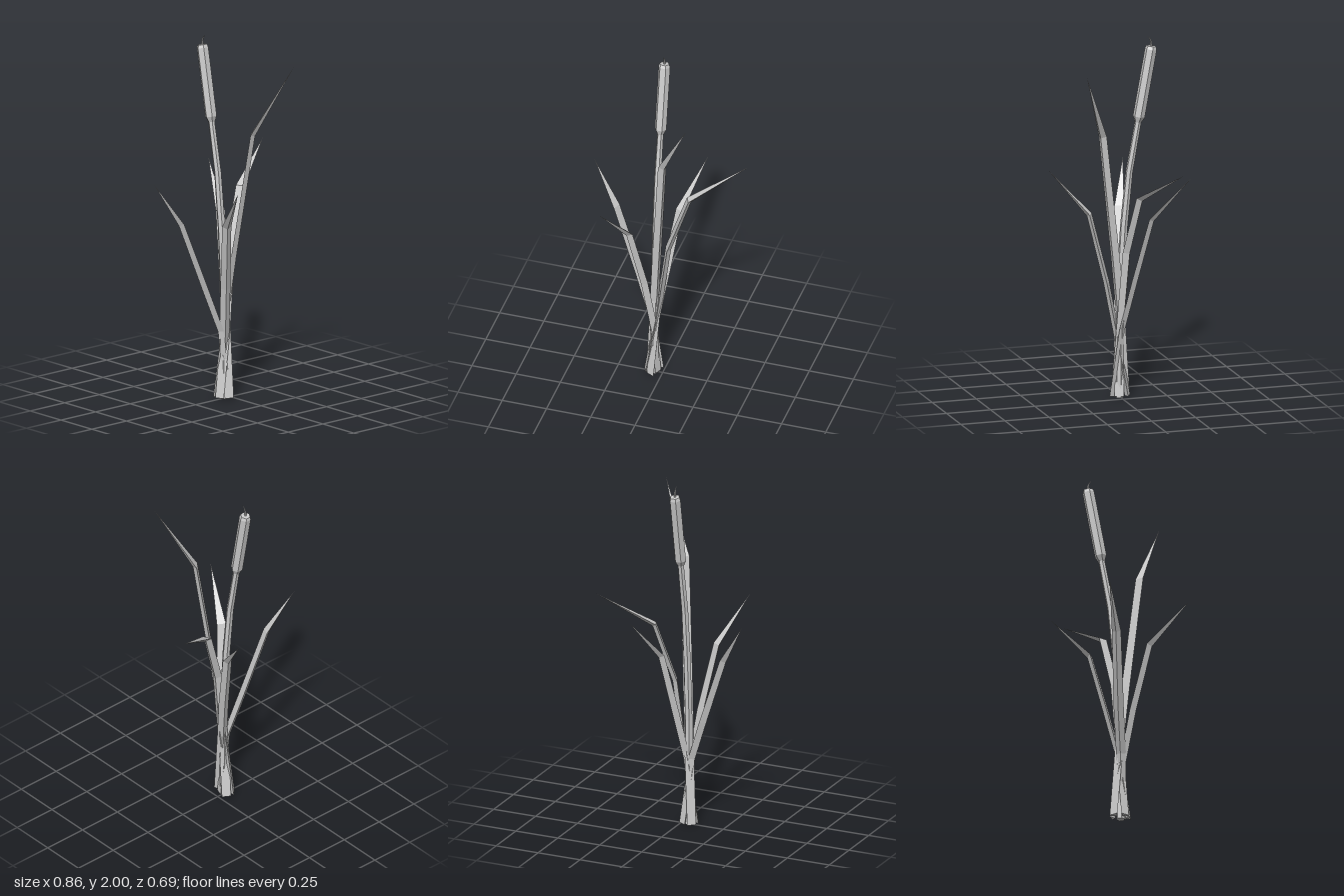
import * as THREE from 'three';

const material = new THREE.MeshStandardMaterial({ color: 0xcccccc, flatShading: true });
const UP = new THREE.Vector3(0, 1, 0);

// Sections: three-sided blade (flat inside, keel outside) and hexagon
const BLADE = [[-0.5, -0.2], [0.5, -0.2], [0, 0.28]];
const HEXAGON = Array.from({ length: 6 }, (_, k) => [Math.cos(k * Math.PI / 3), Math.sin(k * Math.PI / 3)]);

// Sweeps a section along points, scaled at each one; heading is the way the part leans
function sweep(name, section, points, sizes, heading) {
  const path = points.map((p) => new THREE.Vector3(...p));
  const side = new THREE.Vector3().crossVectors(UP, heading).normalize();
  const rings = path.map((p, i) => {
    const before = path[Math.max(i - 1, 0)];
    const after = path[Math.min(i + 1, path.length - 1)];
    const a = p.clone().sub(before).normalize();
    const tangent = after.clone().sub(p).normalize().add(a).normalize();
    const out = new THREE.Vector3().crossVectors(side, tangent).normalize();
    return section.map(([u, v]) => p.clone().addScaledVector(side, u * sizes[i]).addScaledVector(out, v * sizes[i]));
  });
  const corners = [];
  const n = section.length;
  const last = rings.length - 1;
  for (let k = 0; k < n; k++) {
    const m = (k + 1) % n;
    for (let i = 0; i < last; i++) {
      const [a, b, c, d] = [rings[i][k], rings[i + 1][k], rings[i + 1][m], rings[i][m]];
      if (sizes[i + 1] > 0) corners.push(a, b, c);
      corners.push(a, c, d);
    }
    corners.push(path[0], rings[0][k], rings[0][m]);
    if (sizes[last] > 0) corners.push(path[last], rings[last][m], rings[last][k]);
  }
  const geometry = new THREE.BufferGeometry().setFromPoints(corners);
  geometry.computeVertexNormals();
  const mesh = new THREE.Mesh(geometry, material);
  mesh.name = name;
  return mesh;
}

export function createModel() {
  const group = new THREE.Group();
  group.name = 'reedPlant';
  const back = new THREE.Vector3(0, 0, -1);
  const X = -0.045;

  // Stem, seed head and the curved spike on top
  group.add(sweep('stem', HEXAGON,
    [[X, 0, 0.005], [X, 0.6, 0], [X, 0.95, -0.02], [X, 1.25, -0.05], [X, 1.54, -0.103]],
    [0.023, 0.022, 0.021, 0.02, 0.018], back));
  group.add(sweep('seedHead', HEXAGON,
    [[X, 1.525, -0.1], [X, 1.555, -0.105], [X, 1.925, -0.173], [X, 1.942, -0.176]],
    [0.019, 0.033, 0.033, 0.027], back));
  group.add(sweep('spike', HEXAGON,
    [[X, 1.935, -0.175], [X, 1.965, -0.175], [X, 1.985, -0.167], [X, 2, -0.153]],
    [0.007, 0.005, 0.003, 0], back));

  // Leaves cross near the ground, then bend outward to a point
  const leaves = {
    tallFrontLeaf: [[-0.075, 0.01, -0.035], [-0.045, 0.4, 0], [-0.015, 0.8, 0.045], [0.043, 1.48, 0.133], [0.22, 1.865, 0.275]],
    leftLeaf: [[-0.085, 0.01, 0.015], [-0.025, 0.4, 0], [0.025, 0.82, -0.02], [0.13, 1.14, -0.06], [0.425, 1.33, -0.21]],
    backLeaf: [[-0.05, 0.01, 0.045], [-0.03, 0.38, -0.005], [0.01, 0.66, -0.065], [0.055, 1, -0.145], [0.15, 1.245, -0.345]],
    rightLeaf: [[-0.03, 0.01, 0.01], [-0.07, 0.38, 0], [-0.15, 0.61, -0.03], [-0.29, 1, -0.073], [-0.43, 1.24, -0.14]],
    frontLeaf: [[-0.03, 0.01, -0.035], [-0.06, 0.38, 0.025], [-0.09, 0.63, 0.065], [-0.15, 1, 0.143], [-0.252, 1.245, 0.345]],
  };
  for (const [name, points] of Object.entries(leaves)) {
    const [a, b] = [points[0], points[4]];
    const heading = new THREE.Vector3(b[0] - a[0], 0, b[2] - a[2]);
    group.add(sweep(name, BLADE, points, [0.05, 0.053, 0.055, 0.05, 0], heading));
  }
  return group;
}
